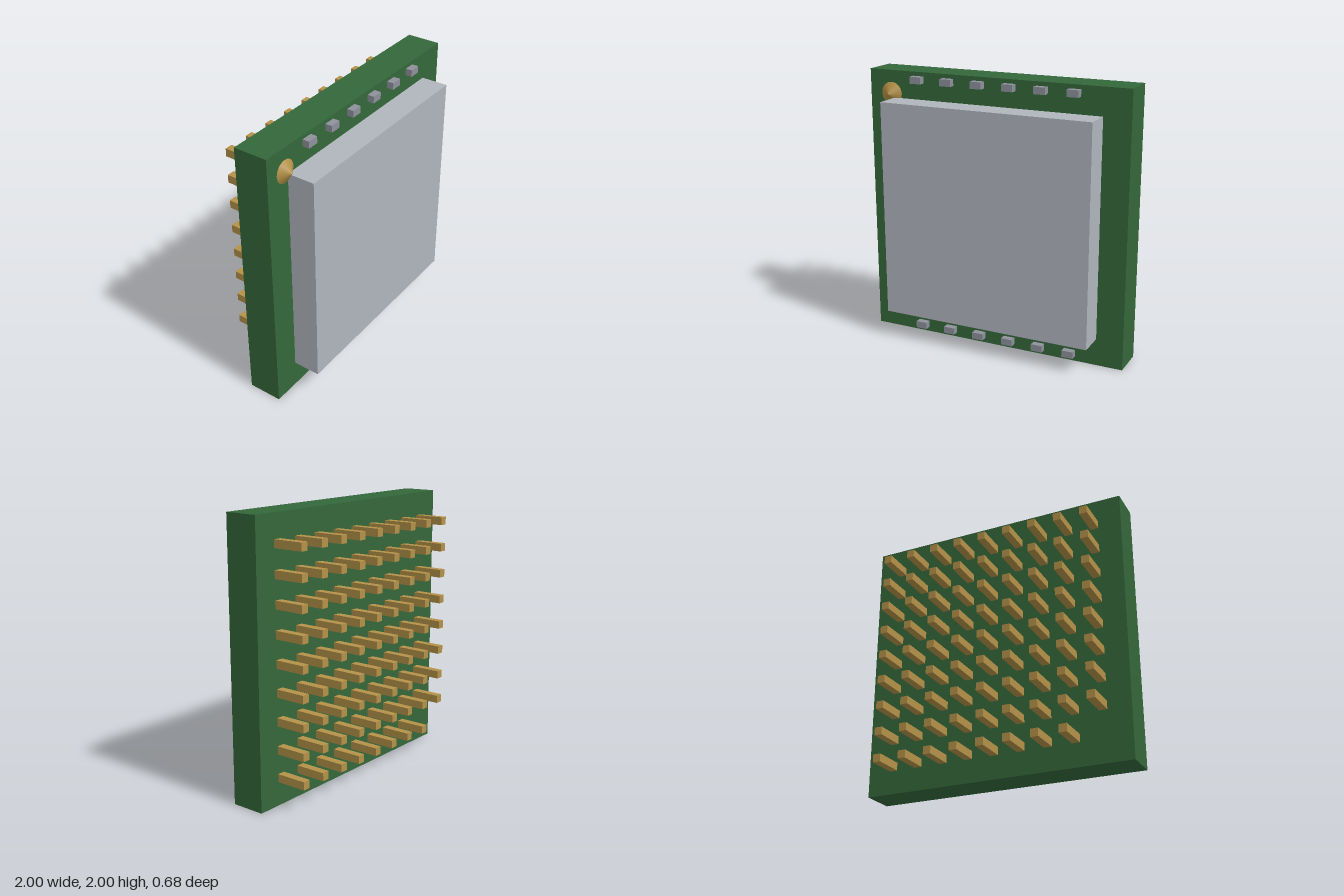
import * as THREE from 'three';

const material = (name, color) => {
  const m = new THREE.MeshStandardMaterial({ color });
  m.name = name;
  return m;
};

export function createModel() {
  const green = material('board green', 0x34673a);
  const silver = material('lid silver', 0xb0b4bc);
  const grey = material('component grey', 0x8e919b);
  const gold = material('contact gold', 0xb39148);
  const model = new THREE.Group();
  model.name = 'pinGridChip';

  const FRONT = 0.14, BACK = -0.11; // faces of the board

  // Box given by its x and y centre, its size and its z range
  const addBox = (parent, name, mat, x, y, w, h, z0, z1) => {
    const mesh = new THREE.Mesh(new THREE.BoxGeometry(w, h, z1 - z0), mat);
    mesh.position.set(x, y, (z0 + z1) / 2);
    mesh.name = name;
    parent.add(mesh);
  };

  addBox(model, 'circuitBoard', green, 0, 1, 2, 2, BACK, FRONT);
  addBox(model, 'heatSpreaderLid', silver, 0, 1, 1.6, 1.6, FRONT, 0.34);

  // Small components in two rows, above and below the lid
  const components = new THREE.Group();
  components.name = 'surfaceComponents';
  for (const y of [0.06, 1.945])
    for (let i = 0; i < 6; i++)
      addBox(components, 'component', grey, -0.6 + i * 0.24, y, 0.085, 0.05, FRONT, 0.19);
  model.add(components);

  // Pin grid on the back, with one corner left out as a key
  const pins = new THREE.Group();
  pins.name = 'pins';
  for (let col = 0; col < 9; col++)
    for (let row = 0; row < 9; row++) {
      if (col === 0 && row === 0) continue;
      addBox(pins, 'pin', gold, -0.8 + col * 0.2, 0.2 + row * 0.2, 0.058, 0.058, -0.34, BACK);
    }
  model.add(pins);

  // Cone marking the first corner
  const marker = new THREE.Mesh(new THREE.ConeGeometry(0.083, 0.055, 32), gold);
  marker.rotation.x = Math.PI / 2;
  marker.position.set(-0.825, 1.83, FRONT + 0.0275);
  marker.name = 'cornerMarker';
  model.add(marker);

  return model;
}
